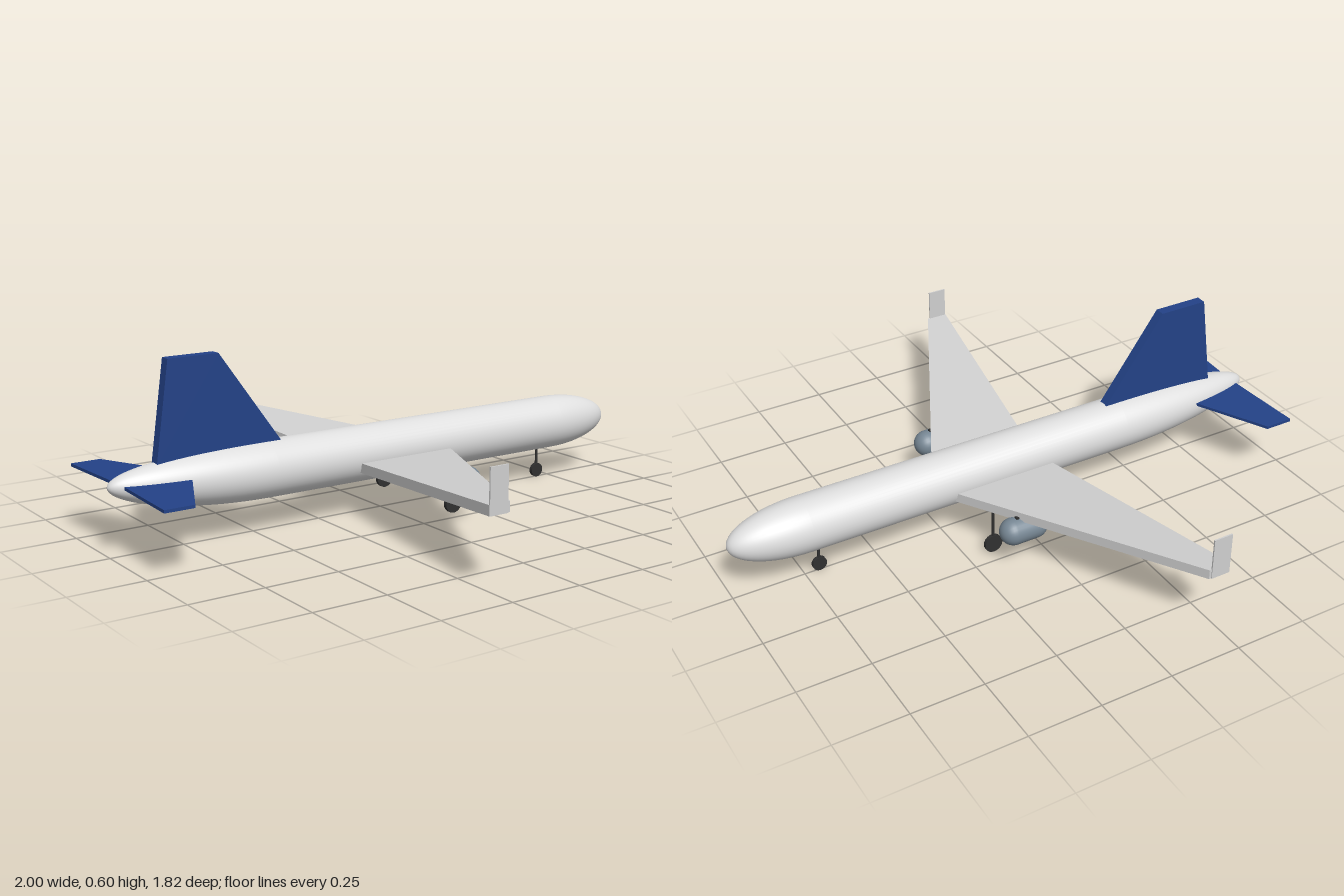
import * as THREE from 'three';

const paint = (name, color, extra) => Object.assign(new THREE.MeshStandardMaterial({ color }), { name });

export function createModel() {
  const plane = new THREE.Group();
  plane.name = 'airliner';
  const white = paint('fuselage white', 0xdedede);
  const silver = paint('wing silver', 0xd0d0d0);
  const navy = paint('tail navy', 0x234287);
  const steel = paint('engine steel', 0x778794);
  const rubber = paint('gear black', 0x303030);

  function add(name, geometry, material, x = 0, y = 0, z = 0) {
    const mesh = new THREE.Mesh(geometry, material);
    mesh.name = name;
    mesh.position.set(x, y, z);
    plane.add(mesh);
    return mesh;
  }

  // Flat plate cut from an outline
  const plate = (outline, depth) => new THREE.ExtrudeGeometry(
    new THREE.Shape(outline.map(([a, b]) => new THREE.Vector2(a, b))),
    { depth, bevelEnabled: false });

  // Horizontal surface: outline in x and z, top at y = 0, optional dihedral
  function surface(outline, side, thickness, dihedral = 0) {
    const g = plate(outline.map(([x, z]) => [x, z * side]), thickness).rotateX(Math.PI / 2);
    const p = g.attributes.position;
    for (let i = 0; i < p.count; i++) p.setY(i, p.getY(i) + Math.abs(p.getZ(i)) * dihedral);
    g.computeVertexNormals();
    return g;
  }

  // Fuselage: elliptical nose, longer elliptical tail swept slightly upward
  const R = 0.094, noseX = 0.74, tailX = -0.45, profile = [];
  for (let i = 0; i <= 20; i++) {
    const a = (i / 20) * Math.PI / 2;
    profile.push(new THREE.Vector2(R * Math.sin(a), tailX - (1 + tailX) * Math.cos(a)));
  }
  for (let i = 0; i <= 16; i++) {
    const a = (i / 16) * Math.PI / 2;
    profile.push(new THREE.Vector2(R * Math.cos(a), noseX + (1 - noseX) * Math.sin(a)));
  }
  const body = new THREE.LatheGeometry(profile, 48).rotateZ(-Math.PI / 2);
  const bp = body.attributes.position;
  for (let i = 0; i < bp.count; i++) {
    const t = Math.max(0, (tailX - bp.getX(i)) / (1 + tailX));
    bp.setY(i, bp.getY(i) + 0.02 * t * t);
  }
  add('fuselage', body, white, 0, 0.2, 0);

  // Vertical fin
  add('fin', plate([[-0.842, 0.27], [-0.385, 0.27], [-0.62, 0.597], [-0.795, 0.597]], 0.036),
    navy, 0, 0, -0.018);

  for (const side of [1, -1]) {
    const label = side > 0 ? 'left' : 'right';

    // Wing and winglet
    add(label + 'Wing', surface(
      [[-0.135, 0.07], [0.24, 0.07], [-0.187, 0.905], [-0.263, 0.905]], side, 0.033, 0.087),
      silver, 0, 0.182, 0);
    add(label + 'Winglet', new THREE.BoxGeometry(0.066, 0.143, 0.005), silver,
      -0.228, 0.2985, side * 0.905);

    // Tailplane
    add(label + 'Tailplane', surface(
      [[-0.958, 0], [-0.715, 0], [-0.875, 0.325], [-0.975, 0.325]], side, 0.01),
      navy, 0, 0.226, 0);

    // Engine and pylon
    add(label + 'Engine', new THREE.CapsuleGeometry(0.046, 0.078, 10, 28).rotateZ(Math.PI / 2),
      steel, 0.1, 0.138, side * 0.3);
    add(label + 'Pylon', new THREE.BoxGeometry(0.08, 0.03, 0.012), rubber,
      0.09, 0.175, side * 0.3);
  }

  // Landing gear: one strut and wheel each
  function gear(name, x, z, radius, top) {
    add(name + 'Wheel', new THREE.CylinderGeometry(radius, radius, 0.013, 20).rotateX(Math.PI / 2),
      rubber, x, radius, z);
    add(name + 'Strut', new THREE.CylinderGeometry(0.005, 0.005, top - radius, 10),
      rubber, x, (top + radius) / 2, z);
  }
  gear('leftGear', 0.157, 0.2, 0.032, 0.175);
  gear('rightGear', 0.157, -0.2, 0.032, 0.175);
  gear('noseGear', 0.697, 0, 0.025, 0.13);

  return plane;
}
